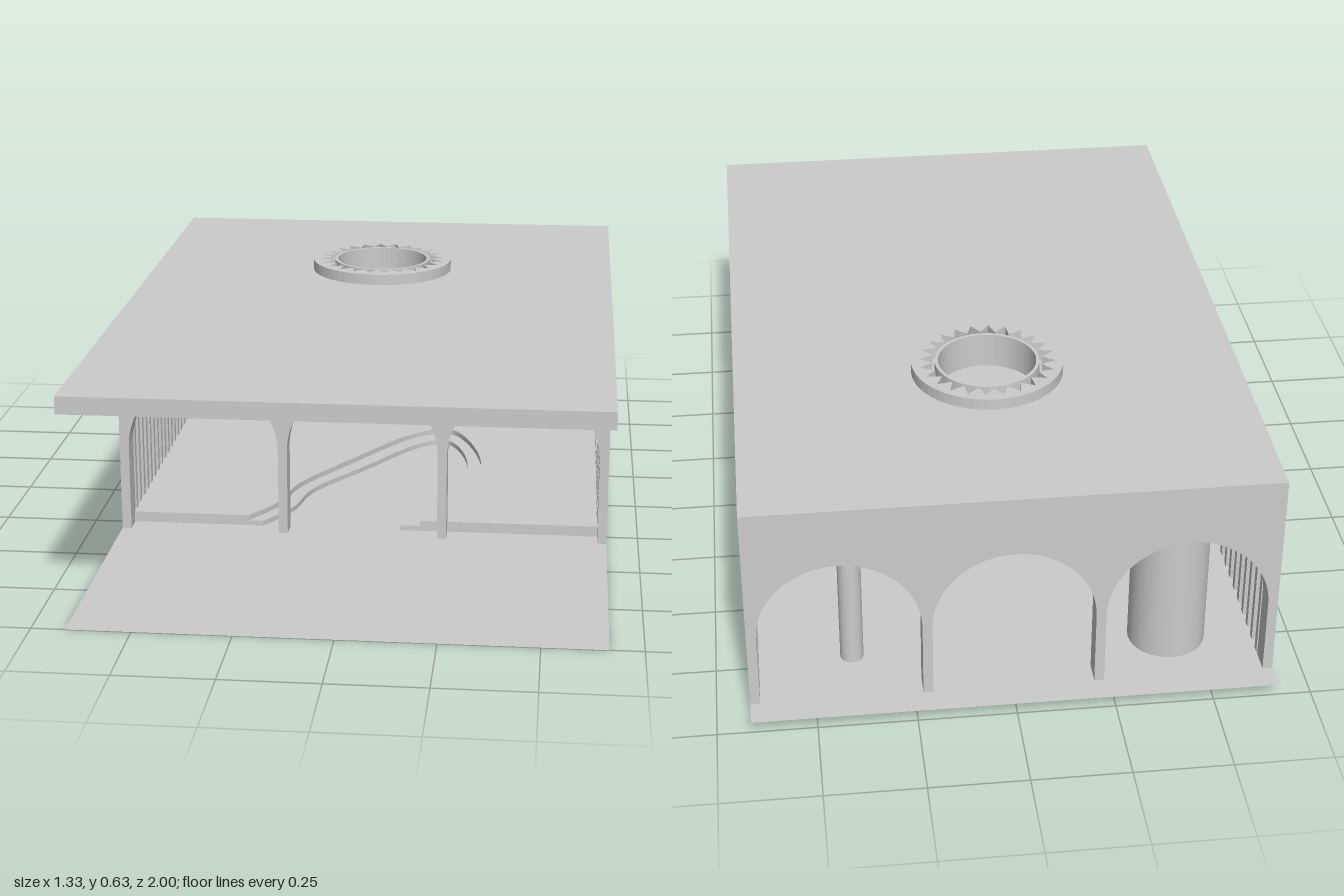
import * as THREE from 'three';

const W = 0.665, ROOF_LOW = 0.555, ROOF_TOP = 0.6, FLOOR = 0.03;
const OCULUS_Z = -0.32;

const grey = new THREE.MeshStandardMaterial({ color: 0xcccccc });
const greyThin = new THREE.MeshStandardMaterial({ color: 0xcccccc, side: THREE.DoubleSide });

function part(name, geometry, parent, material = grey) {
  const mesh = new THREE.Mesh(geometry, material);
  mesh.name = name;
  parent.add(mesh);
  return mesh;
}

const extrude = (shape, depth) =>
  new THREE.ExtrudeGeometry(shape, { depth, bevelEnabled: false, curveSegments: 32 });

// Horizontal slab drawn in (x, z), hanging down from y = top
const slab = (shape, top, depth) =>
  extrude(shape, depth).rotateX(Math.PI / 2).translate(0, top, 0);

const circle = (r, x = 0, y = 0) => new THREE.Path().absarc(x, y, r, 0, Math.PI * 2, true);

// Wall with three round arches open at the bottom
function archWall(base) {
  const s = new THREE.Shape();
  const r = 0.205, spring = 0.235;
  s.moveTo(-W, base);
  s.lineTo(-W, ROOF_LOW);
  s.lineTo(W, ROOF_LOW);
  s.lineTo(W, base);
  for (const c of [0.435, 0, -0.435]) {
    s.lineTo(c + r, base);
    s.lineTo(c + r, spring);
    s.absarc(c, spring, r, 0, Math.PI, false);
    s.lineTo(c - r, base);
  }
  return extrude(s, 0.06);
}

// Low floor layer with a winding path cut into its front edge
function floorLayer(back, path) {
  const s = new THREE.Shape();
  s.moveTo(-W, back);
  s.lineTo(-W, 0.25);
  s.lineTo(path[0][0], path[0][1]);
  s.splineThru(path.slice(1).map(([x, z]) => new THREE.Vector2(x, z)));
  s.lineTo(W, 0.25);
  s.lineTo(W, back);
  return s;
}

// Row of upright slats, optionally cut by a large circle
function slatScreen(name, x, cut) {
  const group = new THREE.Group();
  group.name = name;
  const half = 0.01, cy = 0.29, r = 0.23;
  const chord = z => Math.sqrt(Math.max(0, r * r - (z - OCULUS_Z) ** 2));
  const piece = points => {
    // drawn in (-z, y), then turned to face sideways
    const s = new THREE.Shape(points.map(([z, y]) => new THREE.Vector2(-z, y)));
    part('slat', extrude(s, 0.024).rotateY(Math.PI / 2).translate(x - 0.012, 0, 0), group);
  };
  for (let i = 0; i < 21; i++) {
    const z = 0.215 - i * 0.0534;
    const a = z - half, b = z + half;
    const ha = chord(a), hb = chord(b);
    if (!cut || ha + hb === 0) {
      piece([[a, FLOOR], [b, FLOOR], [b, ROOF_LOW], [a, ROOF_LOW]]);
    } else {
      piece([[a, FLOOR], [b, FLOOR], [b, cy - hb], [a, cy - ha]]);
      piece([[a, cy + ha], [b, cy + hb], [b, ROOF_LOW], [a, ROOF_LOW]]);
    }
  }
  return group;
}

function column(name, r, x, parent) {
  const h = ROOF_LOW - FLOOR;
  part(name, new THREE.CylinderGeometry(r, r, h, 32), parent)
    .position.set(x, FLOOR + h / 2, -0.76);
}

export function createModel() {
  const model = new THREE.Group();
  model.name = 'pavilion';

  // Ground and stepped floor
  const sheet = (name, z0, z1, y) =>
    part(name, new THREE.PlaneGeometry(2 * W, z1 - z0).rotateX(-Math.PI / 2), model, greyThin)
      .position.set(0, y, (z0 + z1) / 2);
  sheet('ground', -0.6, 1, 0);
  sheet('backFloor', -1, -0.67, FLOOR);
  part('lowerStep', slab(floorLayer(-0.6, [
    [-0.28, 0.25], [-0.21, 0.13], [-0.17, -0.03], [-0.05, -0.22], [0.1, -0.45],
    [0.2, -0.48], [0.26, -0.25], [0.2, 0.05], [0.1, 0.25],
  ]), 0.015, 0.014), model);
  part('upperStep', slab(floorLayer(-0.67, [
    [-0.32, 0.25], [-0.25, 0.13], [-0.21, -0.03], [-0.09, -0.24], [0.08, -0.5],
    [0.21, -0.54], [0.3, -0.25], [0.24, 0.05], [0.155, 0.25],
  ]), FLOOR, 0.015), model);

  // Arched walls
  part('frontArches', archWall(0), model).position.z = 0.24;
  part('backArches', archWall(FLOOR), model).position.z = -0.93;

  // Slatted sides, the left one with a round opening
  model.add(slatScreen('leftScreen', W - 0.014, true));
  model.add(slatScreen('rightScreen', -W + 0.014, false));

  // Columns inside
  column('wideColumn', 0.1, -0.42, model);
  column('thinColumn', 0.03, 0.4, model);

  // Roof with a round skylight
  const roof = new THREE.Shape([[-W, -0.93], [W, -0.93], [W, 1], [-W, 1]]
    .map(([x, z]) => new THREE.Vector2(x, z)));
  roof.holes.push(circle(0.13, 0, OCULUS_Z));
  part('roof', slab(roof, ROOF_TOP, ROOF_TOP - ROOF_LOW), model);

  // Skylight collar: toothed outer ring and thin inner ring
  const skylight = new THREE.Group();
  skylight.name = 'skylight';
  skylight.position.z = OCULUS_Z;
  const outer = new THREE.Shape().absarc(0, 0, 0.2, 0, Math.PI * 2, false);
  const teeth = [];
  for (let i = 0; i < 48; i++) {
    const a = -i * Math.PI / 24, r = i % 2 ? 0.18 : 0.145;
    teeth.push(new THREE.Vector2(r * Math.cos(a), r * Math.sin(a)));
  }
  outer.holes.push(new THREE.Path(teeth));
  part('toothedRing', slab(outer, 0.63, 0.095), skylight);
  const inner = new THREE.Shape().absarc(0, 0, 0.138, 0, Math.PI * 2, false);
  inner.holes.push(circle(0.129));
  part('innerRing', slab(inner, 0.63, 0.095), skylight);
  model.add(skylight);

  return model;
}
